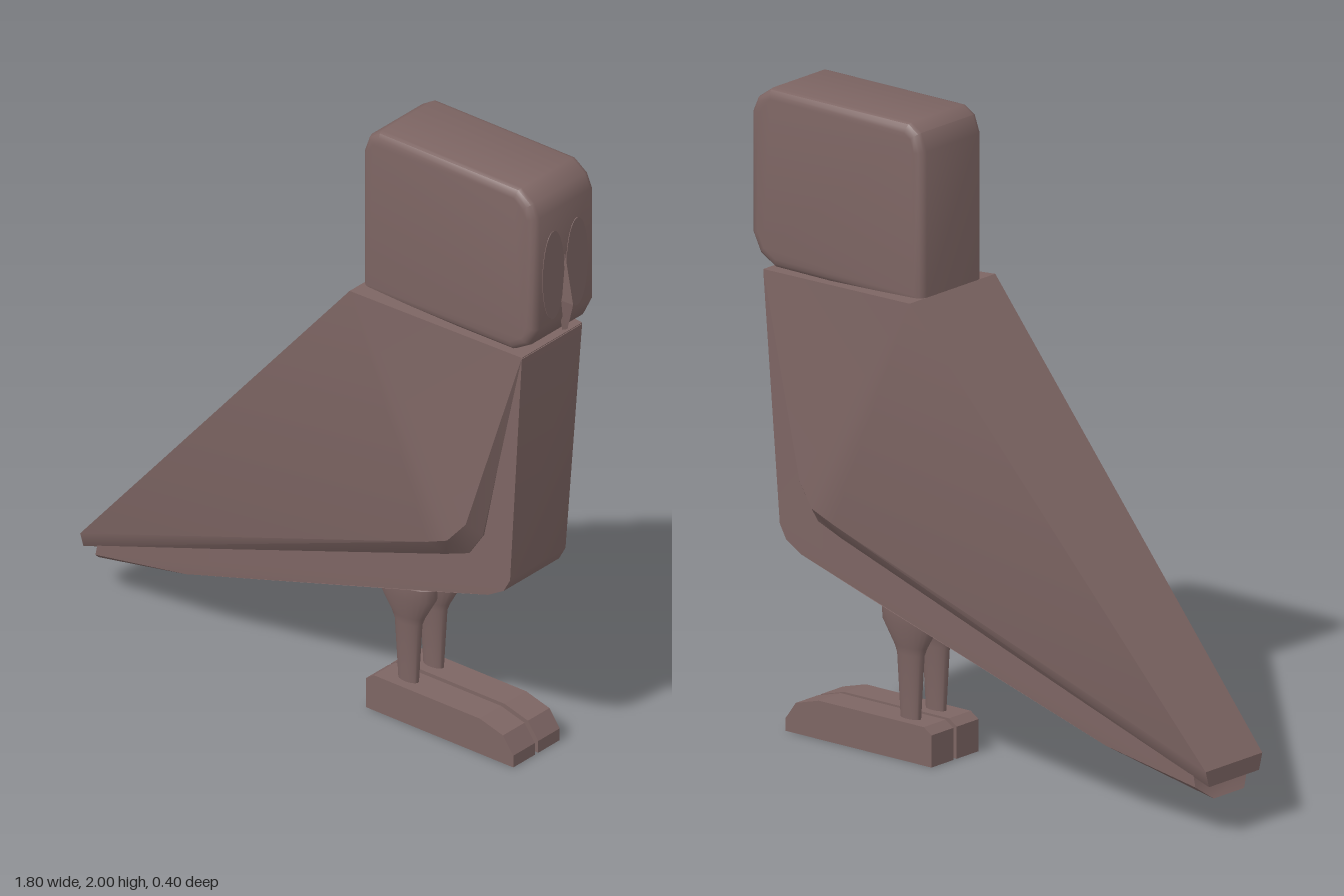
import * as THREE from 'three';
import { toCreasedNormals } from 'three/addons/utils/BufferGeometryUtils.js';

const material = new THREE.MeshStandardMaterial({ color: 0x7d6563 });

function part(name, geometry, crease = 0.5) {
  const mesh = new THREE.Mesh(toCreasedNormals(geometry, crease), material);
  mesh.name = name;
  return mesh;
}

const outline = (points) => new THREE.Shape(points.map(([x, y]) => new THREE.Vector2(x, y)));

// Side outline extruded along z and centred on z = 0
function slab(points, width, bevel) {
  const t = bevel ? bevel.bevelThickness : 0;
  const g = new THREE.ExtrudeGeometry(outline(points), {
    depth: width - 2 * t, bevelEnabled: !!bevel, ...bevel,
  });
  return g.translate(0, 0, -width / 2 + t);
}

// Folded-wing shell: flared side panels, undercut rim, flat back and tail end
function wingShell() {
  const rim = [[-0.9, 0.21, 0.13], [0.5, 0.715, 0.195], [0.58, 0.75, 0.2],
    [0.64, 0.82, 0.185], [0.82, 1.435, 0.14]];
  const inner = [[-0.9, 0.16, 0.115], [0.52, 0.655, 0.135], [0.61, 0.69, 0.135],
    [0.665, 0.77, 0.135], [0.81, 1.42, 0.13]];
  const shoulder = [0.2, 1.465, 0.197];
  const v = [];
  const flip = ([x, y, z]) => [x, y, -z];
  const tri = (a, b, c) => v.push(...a, ...b, ...c);
  const both = (a, b, c) => { tri(a, b, c); tri(flip(a), flip(c), flip(b)); };
  const across = (a, b) => { tri(a, b, flip(b)); tri(a, flip(b), flip(a)); };
  const last = rim.length - 1;
  for (let i = 0; i < last; i++) {
    both(shoulder, rim[i], rim[i + 1]);
    both(rim[i + 1], rim[i], inner[i]);
    both(rim[i + 1], inner[i], inner[i + 1]);
    across(inner[i + 1], inner[i]);
  }
  across(rim[0], shoulder);
  across(shoulder, rim[last]);
  across(inner[0], rim[0]);
  across(rim[last], inner[last]);
  const g = new THREE.BufferGeometry();
  g.setAttribute('position', new THREE.Float32BufferAttribute(v, 3));
  return g;
}

// Breast and belly: a slab narrowed towards the belly and the tail tip
function belly() {
  const g = slab([[0.3, 1.44], [-0.84, 0.2], [-0.85, 0.15], [-0.88, 0.11], [-0.5, 0.21],
    [0.42, 0.49], [0.68, 0.57], [0.74, 0.605], [0.765, 0.65], [0.82, 1.43]], 0.28);
  const p = g.attributes.position;
  for (let i = 0; i < p.count; i++) {
    const x = p.getX(i), y = p.getY(i);
    const narrow = y < 0.12 ? 0.5 : y < 0.3 ? 0.85 : y < 0.7 ? 0.92 : 1;
    p.setZ(i, p.getZ(i) * narrow * (x < 0.5 && y > 1 ? 0.95 : 1));
  }
  return g;
}

export function createModel() {
  const model = new THREE.Group();
  model.name = 'bird';

  model.add(part('wings', wingShell()));
  model.add(part('belly', belly()));

  // Blocky head with softened edges
  model.add(part('head', slab([[0.2, 1.44], [0.78, 1.445], [0.84, 1.48], [0.87, 1.54],
    [0.87, 1.92], [0.85, 1.965], [0.8, 2], [0.26, 2], [0.22, 1.975], [0.2, 1.92]], 0.285,
  { bevelThickness: 0.025, bevelSize: 0.03, bevelOffset: -0.03, bevelSegments: 3 }), 0.7));

  // Slim diamond beak: cross-section narrowing to a point at both ends
  const beak = new THREE.BufferGeometry();
  const top = [0.865, 1.78, 0], low = [0.86, 1.485, 0];
  const ridge = [0.902, 1.585, 0], tip = [0.88, 1.495, 0];
  const l = [0.86, 1.6, 0.023], r = [0.86, 1.6, -0.023];
  beak.setAttribute('position', new THREE.Float32BufferAttribute([
    top, l, ridge, top, ridge, r, ridge, l, tip, ridge, tip, r, tip, l, low, tip, low, r,
  ].flat(), 3));
  model.add(part('beak', beak, 0.1));

  for (const side of [1, -1]) {
    const name = side > 0 ? 'left' : 'right';

    // Thin arched face disc, nearly flush with the head
    const disc = new THREE.CylinderGeometry(0.05, 0.05, 0.01, 28).rotateZ(Math.PI / 2);
    const face = part(name + 'FaceDisc', disc);
    face.scale.y = 3;
    face.position.set(0.867, 1.7, side * 0.055);
    model.add(face);

    // Leg: rounded thigh over a thin shank, flattened sideways
    const profile = [[0.036, 0.1], [0.05, 0.32], [0.06, 0.345], [0.103, 0.42],
      [0.105, 0.46], [0.09, 0.48], [0.05, 0.495], [0, 0.5]];
    const leg = part(name + 'Leg', new THREE.LatheGeometry(
      profile.map(([x, y]) => new THREE.Vector2(x, y)), 24), 0.6);
    leg.scale.z = 0.5;
    leg.position.set(0.313, 0, side * 0.058);
    model.add(leg);

    // Long foot with a chamfered toe
    const foot = part(name + 'Foot', slab([[0.19, 0], [0.76, 0], [0.76, 0.04], [0.72, 0.095],
      [0.63, 0.12], [0.22, 0.12], [0.19, 0.1]], 0.1), 0.2);
    foot.position.z = side * 0.058;
    model.add(foot);
  }
  return model;
}
